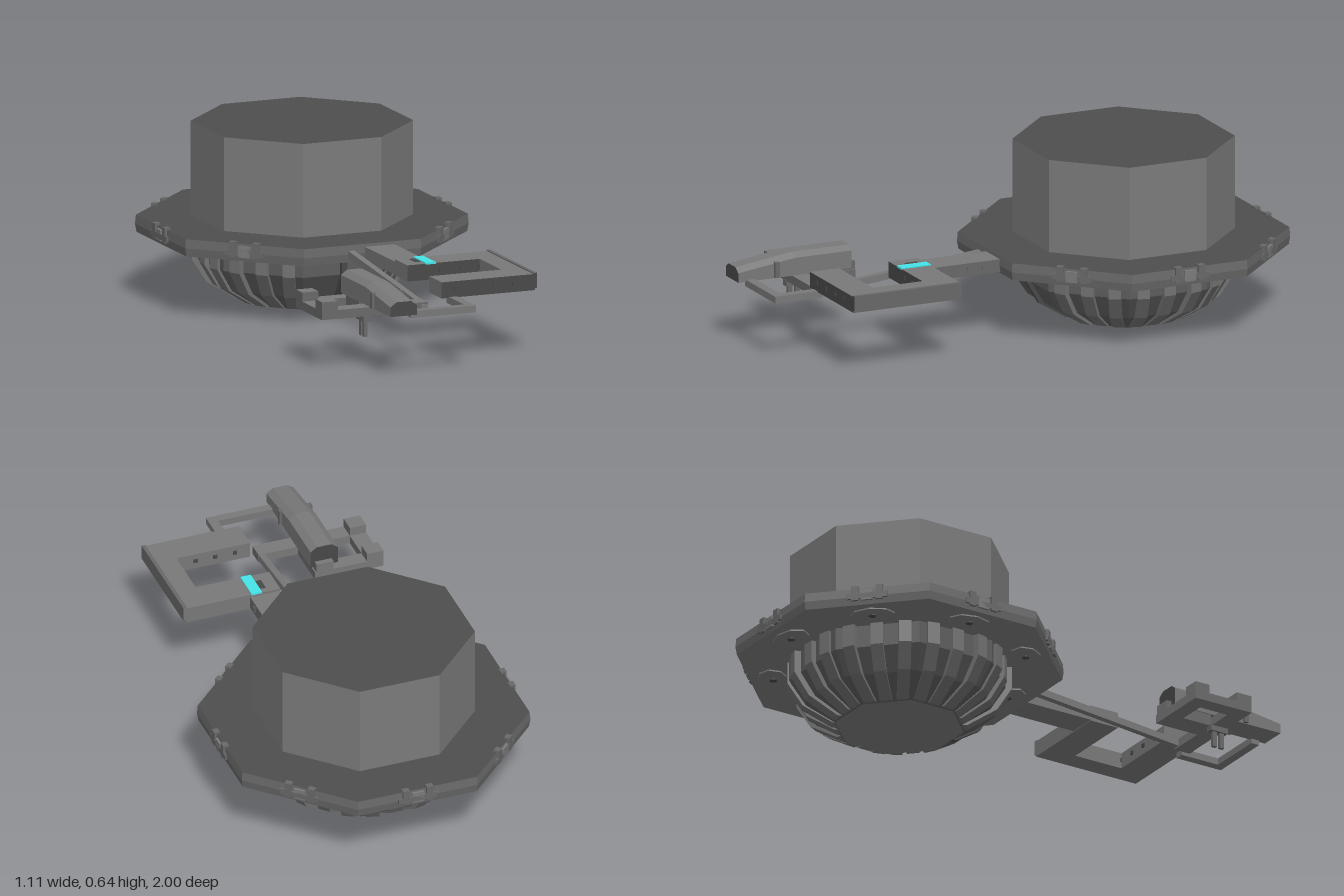
import * as THREE from 'three';

const mat = (name, color) => {
  const m = new THREE.MeshStandardMaterial({ color });
  m.name = name;
  return m;
};

export function createModel() {
  const model = new THREE.Group();
  model.name = 'station';
  const dark = mat('dark deck grey', 0x4e4e4e);
  const wall = mat('wall grey', 0x7a7a7a);
  const edge = mat('edge grey', 0x686868);
  const hull = mat('hull charcoal', 0x484848);
  const bowl = mat('bowl grey', 0x5c5c5c);
  const rib = mat('rib grey', 0x727272);
  const arm = mat('arm grey', 0x787878);
  const cyan = mat('cyan stripe', 0x46e6ea);

  // Faceted mesh helper: every face gets its own normal
  const add = (name, geo, material, parent = model) => {
    const g = geo.index ? geo.toNonIndexed() : geo;
    g.computeVertexNormals();
    const mesh = new THREE.Mesh(g, material);
    mesh.name = name;
    parent.add(mesh);
    return mesh;
  };
  // Box given by its limits on each axis
  const box = (name, x0, x1, y0, y1, z0, z1, material, parent) => {
    const g = new THREE.BoxGeometry(x1 - x0, y1 - y0, z1 - z0);
    g.translate((x0 + x1) / 2, (y0 + y1) / 2, (z0 + z1) / 2);
    return add(name, g, material, parent);
  };
  // Octagonal prism with a flat side to the front; sizes are across-flat radii
  const K = Math.cos(Math.PI / 8);
  const octagon = (name, top, bottom, y0, y1, materials, parent) => {
    const g = new THREE.CylinderGeometry(top / K, bottom / K, y1 - y0, 8, 1, false, Math.PI / 8);
    g.translate(0, (y0 + y1) / 2, 0);
    return add(name, g, materials, parent);
  };
  // Outline extruded evenly to both sides
  const extrude = (points, width, steps = 1) => {
    const shape = new THREE.Shape(points.map(([a, b]) => new THREE.Vector2(a, b)));
    return new THREE.ExtrudeGeometry(shape, { depth: width, steps, bevelEnabled: false })
      .translate(0, 0, -width / 2);
  };

  // Drum, deck and bowl share one centre
  const body = new THREE.Group();
  body.name = 'body';
  body.position.z = -0.443;
  model.add(body);
  octagon('drum', 0.367, 0.367, 0.298, 0.64, [wall, dark, dark], body);
  octagon('deckUpper', 0.547, 0.55, 0.265, 0.298, [edge, dark, wall], body);
  octagon('deckLower', 0.55, 0.545, 0.235, 0.265, [edge, dark, wall], body);

  const profile = [[0.215, 0], [0.318, 0.067], [0.37, 0.152], [0.37, 0.236]];
  for (let i = 0; i < 3; i++) {
    const [r0, y0] = profile[i], [r1, y1] = profile[i + 1];
    octagon('bowlBand', r1, r0, y0, y1, [bowl, bowl, wall], body);
  }

  // Ribs every 15 degrees, with a plain panel and one slim dark rib at the front
  for (let i = 0; i < 24; i++) {
    if (i === 17 || i === 19) continue;
    const front = i === 18;
    const a = i * Math.PI / 12;
    const offset = a - Math.round(a / (Math.PI / 4)) * Math.PI / 4;
    const outer = profile.map(([r, y]) => [r / Math.cos(offset) + 0.018, Math.max(y, 0.003)]);
    const g = extrude([[0.15, 0.003], ...outer, [0.3, 0.236]], front ? 0.02 : 0.045);
    add('bowlRib', g, front ? hull : rib, body).rotation.y = a;
  }

  // Clamps on the deck edge and hatch plates beneath it
  for (let i = 0; i < 8; i++) {
    const side = new THREE.Group();
    side.name = 'deckSide';
    side.rotation.y = i * Math.PI / 4;
    body.add(side);
    const hatch = new THREE.CylinderGeometry(0.075, 0.075, 0.006, 8);
    hatch.scale(1.1, 1, 0.75).translate(0, 0.233, 0.46);
    add('hatch', hatch, wall, side);
    const knob = new THREE.CylinderGeometry(0.014, 0.014, 0.005, 8);
    add('hatchKnob', knob.translate(0, 0.229, 0.46), hull, side);
    if (i === 0) continue;
    box('clampBar', -0.075, 0.075, 0.256, 0.276, 0.54, 0.557, edge, side);
    box('clampBlock', -0.022, 0.022, 0.25, 0.29, 0.54, 0.557, wall, side);
    for (const s of [-1, 1]) {
      box('clampTooth', s * 0.045 - 0.013, s * 0.045 + 0.013, 0.25, 0.305, 0.535, 0.557, edge, side);
    }
  }

  // Hooked gangway on the left, with dark front faces
  const walk = new THREE.Group();
  walk.name = 'gangway';
  model.add(walk);
  const plank = [edge, arm, arm, arm, hull, arm];
  box('gangwayRoot', 0.01, 0.125, 0.24, 0.287, 0.09, 0.376, plank, walk);
  box('gangwayElbow', 0.01, 0.29, 0.237, 0.296, 0.376, 0.49, plank, walk);
  box('gangwaySide', 0.29, 0.372, 0.237, 0.296, 0.376, 0.8, plank, walk);
  box('gangwayEnd', 0.01, 0.29, 0.237, 0.296, 0.686, 0.8, plank, walk);
  box('outerRail', 0.366, 0.38, 0.245, 0.3, 0.376, 0.8, [edge, edge, edge, edge, hull, arm], walk);
  box('cyanStripe', 0.08, 0.12, 0.293, 0.3, 0.375, 0.491, cyan, walk);
  box('darkPatch', 0.057, 0.077, 0.294, 0.298, 0.4, 0.45, hull, walk);
  for (let i = 0; i < 4; i++) {
    const x = 0.06 + i * 0.075;
    box('endStud', x, x + 0.015, 0.262, 0.276, 0.682, 0.803, hull, walk);
    if (i) box('elbowStud', x, x + 0.015, 0.262, 0.276, 0.48, 0.494, hull, walk);
  }
  for (const z of [0.16, 0.22, 0.32]) {
    box('rootStud', 0.02, 0.129, 0.255, 0.275, z, z + 0.015, edge, walk);
  }

  // Thin link from the gangway to the pod
  box('linkLong', 0.038, 0.072, 0.215, 0.24, 0.78, 0.967, arm, walk);
  box('linkCross', -0.18, 0.038, 0.215, 0.24, 0.934, 0.967, arm, walk);

  // Straight rod sloping from the deck to the square frame
  const rod = extrude([[0.09, 0.252], [0.77, 0.19], [0.77, 0.215], [0.09, 0.279]], 0.024);
  rod.rotateY(-Math.PI / 2).translate(-0.043, 0, 0);
  add('slopingRod', rod, arm);

  // Square frame with raised corner blocks
  const frame = new THREE.Group();
  frame.name = 'squareFrame';
  model.add(frame);
  const beam = [edge, edge, arm, arm, edge, arm];
  box('frameFront', -0.44, -0.03, 0.19, 0.222, 0.705, 0.768, beam, frame);
  box('frameBack', -0.44, -0.18, 0.19, 0.222, 0.53, 0.588, beam, frame);
  box('frameOuter', -0.44, -0.378, 0.19, 0.222, 0.588, 0.705, beam, frame);
  box('frameInner', -0.27, -0.18, 0.19, 0.235, 0.588, 0.705, beam, frame);
  box('cornerBlock', -0.44, -0.378, 0.222, 0.255, 0.705, 0.768, beam, frame);
  box('cornerBlock', -0.44, -0.378, 0.222, 0.255, 0.53, 0.588, beam, frame);
  box('cornerBlock', -0.25, -0.185, 0.222, 0.255, 0.53, 0.588, beam, frame);

  // Pod: chamfered section along z, its upper points raised into a hump
  const pod = extrude([[-0.052, 0.233], [0.052, 0.233], [0.052, 0.268], [0.028, 0.285],
    [-0.028, 0.285], [-0.052, 0.268]], 0.448, 4);
  pod.translate(-0.222, 0, 0.774);
  const p = pod.attributes.position;
  for (let i = 0; i < p.count; i++) {
    if (p.getY(i) > 0.25) {
      const rise = THREE.MathUtils.clamp((0.998 - p.getZ(i)) / 0.224, 0, 1);
      p.setY(i, p.getY(i) + 0.03 * rise);
    }
  }
  add('pod', pod, [hull, arm]);
  box('podCollar', -0.285, -0.16, 0.235, 0.292, 0.838, 0.856, edge);

  // Two prongs under the frame
  box('prongMount', -0.28, -0.25, 0.17, 0.192, 0.7, 0.77, edge);
  for (const z of [0.712, 0.742]) {
    box('prong', -0.273, -0.26, 0.112, 0.175, z, z + 0.017, edge);
  }
  return model;
}
